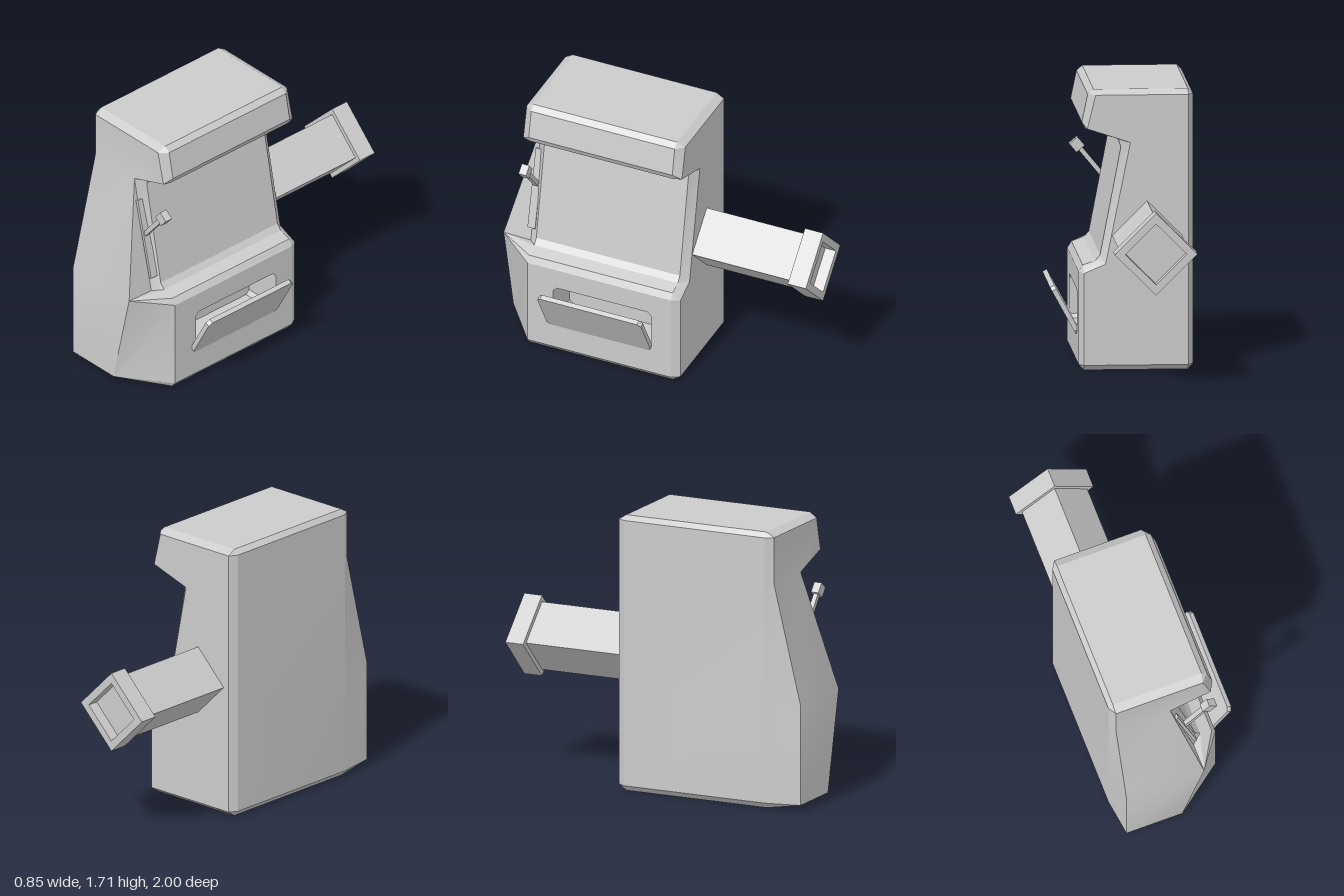
import * as THREE from 'three';
import { toCreasedNormals } from 'three/addons/utils/BufferGeometryUtils.js';

const grey = new THREE.MeshStandardMaterial({ color: 0xcccccc });

// Collects polygons (corners counter-clockwise) as triangle fans, skipping empty triangles
class Faces {
  constructor() { this.tris = []; }
  poly(...pts) {
    for (let i = 1; i < pts.length - 1; i++) {
      const t = [pts[0], pts[i], pts[i + 1]].map(p => new THREE.Vector3(...p));
      if (new THREE.Triangle(...t).getArea() > 1e-6) t.forEach(v => this.tris.push(v.x, v.y, v.z));
    }
  }
  mesh(name, crease) {
    const g = new THREE.BufferGeometry();
    g.setAttribute('position', new THREE.Float32BufferAttribute(this.tris, 3));
    g.computeVertexNormals();
    return part(name, toCreasedNormals(g, crease));
  }
}

function part(name, geometry) {
  const m = new THREE.Mesh(geometry, grey);
  m.name = name;
  return m;
}

// Rectangle with clipped corners
const clippedRect = (x0, y0, x1, y1, c) => [
  [x0 + c, y0], [x1 - c, y0], [x1, y0 + c], [x1, y1 - c],
  [x1 - c, y1], [x0 + c, y1], [x0, y1 - c], [x0, y0 + c]];
const toV2 = pts => pts.map(p => new THREE.Vector2(...p));
const diamond = r => [[r, 0], [0, r], [-r, 0], [0, -r]];

// Each side-wall corner and the one or two outer corners its bevel leads to
const PROFILE = [
  { q: [-0.40, 0.035], p: [[-0.43, 0.035], [-0.40, 0]] },
  { q: [0.23, 0.035], p: [[0.23, 0], [0.26, 0.035]] },
  { q: [0.23, 0.595], p: [[0.26, 0.60], [0.235, 0.64]] },
  { q: [0.10, 0.65], p: [[0.16, 0.665], [0.13, 0.70]] },
  { q: [-0.05, 1.39], p: [[0.005, 1.355], [0.02, 1.405]] },
  { q: [0.21, 1.475], p: [[0.22, 1.47], [0.24, 1.51]] },
  { q: [0.16, 1.68], p: [[0.205, 1.68], [0.17, 1.71]] },
  { q: [-0.40, 1.68], p: [[-0.40, 1.71], [-0.43, 1.68]] },
  { q: [-0.40, 1.39], p: [[-0.43, 1.39]] },
  { q: [-0.40, 0.655], p: [[-0.43, 0.655]] },
];
const PANEL = 3; // index of the outer edge that forms the lower panel
const Z = { back: -0.23, backBevel: -0.18, frontBevel: 0.77, front: 0.82 };

function cabinet() {
  const group = new THREE.Group();
  group.name = 'cabinet';
  const shell = new Faces(), skin = new Faces();

  // Wall corners; the lower front wall swells outward
  const backQ = PROFILE.map(({ q }) => [...q, Z.back]);
  const frontQ = PROFILE.map(({ q }) => [...q, Z.front]);
  frontQ[0] = [-0.40, 0.04, 1];
  frontQ[1] = [-0.04, 0.04, 1];
  frontQ[2] = [0.10, 0.655, 1];
  frontQ[9] = [-0.40, 0.655, 1];

  // Rings from front wall to back wall
  const spread = ring => PROFILE.flatMap(({ p }, i) => p.map(() => ring[i]));
  const outer = z => PROFILE.flatMap(({ p }) => p.map(c => [...c, z]));
  const rings = [spread(frontQ), outer(Z.frontBevel), outer(Z.backBevel), spread(backQ)];
  for (let r = 0; r < 3; r++) {
    const F = rings[r], B = rings[r + 1], n = F.length;
    for (let i = 0; i < n; i++) {
      const j = (i + 1) % n;
      if (i === PANEL && r === 1) continue;
      (i === PANEL && r === 0 ? skin : shell).poly(F[i], B[i], B[j], F[j]);
    }
  }

  // Lever ledge between the screen bevel and the swollen wall
  shell.poly(frontQ[2], frontQ[3], frontQ[4]);

  // Front and back walls
  for (const c of [[0, 1, 2, 9], [9, 2, 4, 8], [8, 4, 6, 7], [4, 5, 6]])
    skin.poly(...c.map(i => frontQ[i]));
  for (const c of [[0, 1, 2, 3, 9], [9, 3, 4, 8], [8, 4, 6, 7], [4, 5, 6]])
    shell.poly(...c.map(i => backQ[i]).reverse());
  group.add(shell.mesh('cabinetShell', 0.45), skin.mesh('swollenWall', 0.85));

  // Lower panel with the tray opening
  const hole = clippedRect(-0.60, 0.20, 0.05, 0.47, 0.025);
  const panel = new THREE.Shape(toV2([
    [-Z.frontBevel, 0.035], [-Z.backBevel, 0.035], [-Z.backBevel, 0.60], [-Z.frontBevel, 0.60]]));
  panel.holes.push(new THREE.Path(toV2(hole)));
  group.add(part('lowerPanel', new THREE.ShapeGeometry(panel).rotateY(Math.PI / 2).translate(0.26, 0, 0)));

  // Recess behind the opening
  const recess = new Faces();
  const at = (x, [u, y]) => [x, y, -u];
  hole.forEach((a, i) => {
    const b = hole[(i + 1) % hole.length];
    recess.poly(at(0.26, a), at(0.26, b), at(0.02, b), at(0.02, a));
  });
  recess.poly(...hole.map(h => at(0.02, h)));
  group.add(recess.mesh('trayRecess', 0.3));
  return group;
}

function trayFlap() {
  const shape = new THREE.Shape(toV2(clippedRect(-0.343, 0, 0.343, 0.325, 0.022)));
  const g = new THREE.ExtrudeGeometry(shape, { depth: 0.03, bevelEnabled: false });
  const flap = part('trayFlap', g.rotateY(Math.PI / 2).rotateZ(-0.5));
  flap.position.set(0.239, 0.21, 0.292);
  return flap;
}

// Square duct turned on its edge, with a thicker hollow collar at the end
function chute() {
  const group = new THREE.Group();
  group.name = 'chute';
  const side = 0.21 * Math.SQRT2;
  const duct = part('duct', new THREE.BoxGeometry(side, side, 0.73));
  duct.rotation.z = Math.PI / 4;
  duct.position.z = -0.565;
  const rim = new THREE.Shape(toV2(diamond(0.25)));
  rim.holes.push(new THREE.Path(toV2(diamond(0.185))));
  const collar = part('collar', new THREE.ExtrudeGeometry(rim, { depth: 0.12, bevelEnabled: false }));
  collar.position.z = -1;
  group.add(duct, collar);
  group.position.set(-0.15, 0.825, 0);
  return group;
}

function lever() {
  const group = new THREE.Group();
  group.name = 'lever';
  // Box laid along a line in the x-y plane
  const bar = (name, [x0, y0], [x1, y1], thick, wide) => {
    const m = part(name, new THREE.BoxGeometry(thick, Math.hypot(x1 - x0, y1 - y0), wide));
    m.position.set((x0 + x1) / 2, (y0 + y1) / 2, 0.81);
    m.rotation.z = Math.atan2(x0 - x1, y1 - y0);
    group.add(m);
  };
  bar('leverPlate', [0.108, 0.75], [-0.012, 1.255], 0.018, 0.05);
  bar('leverRod', [0.04, 1.03], [0.18, 1.20], 0.028, 0.03);
  bar('leverKnob', [0.178, 1.197], [0.222, 1.25], 0.065, 0.05);
  return group;
}

export function createModel() {
  const model = new THREE.Group();
  model.name = 'arcadeMachine';
  model.add(cabinet(), trayFlap(), chute(), lever());
  return model;
}
